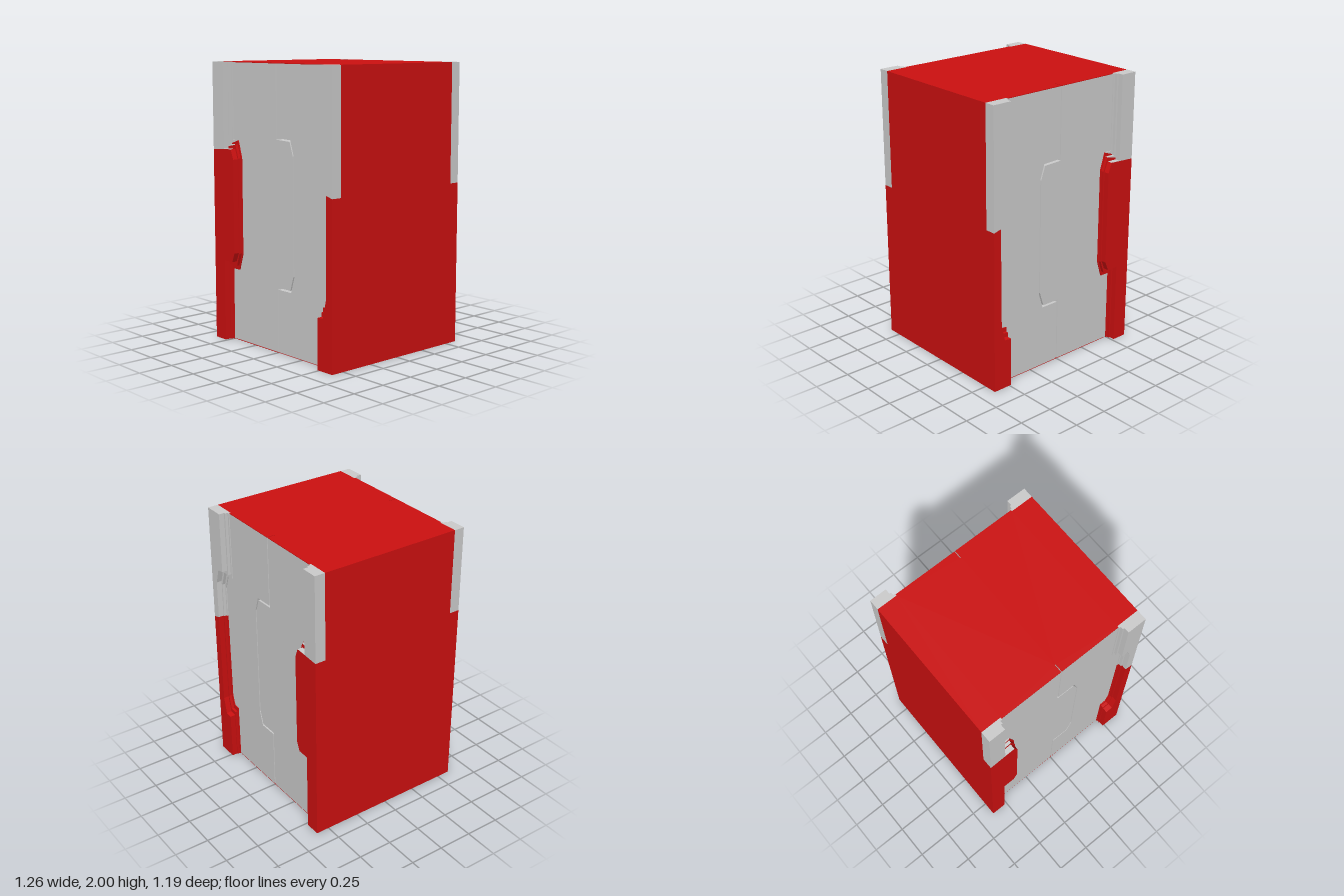
import * as THREE from 'three';

const grey = new THREE.MeshStandardMaterial({ color: 0xcccccc });
const red = new THREE.MeshStandardMaterial({ color: 0xcc1010 });

const W = 0.63, H = 2, LIP = 0.004;           // half width, height, cap thickness
const CORE = 0.47, SIDE = 0.52, DOOR = 0.53;  // half depths

function addMesh(parent, name, geometry, material) {
  const mesh = new THREE.Mesh(geometry, material);
  mesh.name = name;
  parent.add(mesh);
  return mesh;
}

// Flat outline extruded from z0 to z1
function slab(points, z0, z1) {
  const shape = new THREE.Shape(points.map(([x, y]) => new THREE.Vector2(x, y)));
  return new THREE.ExtrudeGeometry(shape, { depth: z1 - z0, bevelEnabled: false }).translate(0, 0, z0);
}

// The same slab on the front and the back
function addBothFaces(parent, name, points, z0, z1, material) {
  addMesh(parent, name + 'Front', slab(points, z0, z1), material);
  addMesh(parent, name + 'Back', slab(points, -z1, -z0), material);
}

// Blend two matching outlines
const blend = (a, b, t) => a.map(([x, y], i) => [x + (b[i][0] - x) * t, y + (b[i][1] - y) * t]);

// Stepped frame: inner outline lies against the door, outer outline is the raised face
function addFrame(parent, name, inner, outer, split, edgeX, edgeY) {
  const tops = [0.537, 0.558, 0.597];
  tops.forEach((z1, i) => {
    const z0 = i ? tops[i - 1] : SIDE;
    const line = blend(inner, outer, i / 2);
    const upper = [[edgeX, edgeY], [edgeX, H], ...line.slice(0, split + 1)];
    const lower = [[edgeX, 0], [edgeX, edgeY], ...line.slice(split)];
    addBothFaces(parent, `${name}Upper${i}`, upper, z0, z1, grey);
    addBothFaces(parent, `${name}Lower${i}`, lower, z0, z1, red);
  });
}

export function createModel() {
  const model = new THREE.Group();
  model.name = 'doorBlock';

  // Core and side walls
  const inside = H - 2 * LIP;
  addMesh(model, 'core', new THREE.BoxGeometry(1.2, inside, 2 * CORE).translate(0, 1, 0), grey);
  for (const s of [-1, 1]) {
    addMesh(model, s < 0 ? 'rightWall' : 'leftWall',
      new THREE.BoxGeometry(0.03, inside, 2 * SIDE).translate(s * (W - 0.015), 1, 0), red);
  }

  // Top and bottom caps; the top one is notched where the door seam meets it
  const half = (notched) => {
    const seam = notched ? [[-0.007, DOOR], [-0.007, CORE], [-0.001, CORE], [-0.001, DOOR]] : [];
    return [[-W, SIDE], [-0.482, SIDE], [-0.482, DOOR], ...seam, [0.462, DOOR], [0.462, SIDE], [W, SIDE]];
  };
  const cap = (notched) => {
    const front = half(notched);
    const back = front.map(([x, z]) => [x, -z]).reverse();
    return slab([...front, ...back], 0, LIP).rotateX(-Math.PI / 2);
  };
  addMesh(model, 'topCap', cap(true).translate(0, H - LIP, 0), red);
  addMesh(model, 'bottomCap', cap(false), red);

  // Door leaves meeting along a stepped seam
  const top = H - LIP;
  const seamRight = [[-0.008, top], [-0.008, 1.485], [0.132, 1.48], [0.165, 1.385],
    [0.165, 0.565], [0.132, 0.463], [-0.003, 0.463], [-0.003, LIP]];
  const seamLeft = [[0, top], [0, 1.498], [0.14, 1.494], [0.174, 1.388],
    [0.174, 0.558], [0.14, 0.449], [0.005, 0.449], [0.005, LIP]];
  addBothFaces(model, 'rightLeaf', [[-0.6, LIP], [-0.6, top], ...seamRight], CORE, DOOR, grey);
  addBothFaces(model, 'leftLeaf', [[0.6, LIP], [0.6, top], ...seamLeft], CORE, DOOR, grey);

  // Frame with a bulge on the -x side
  addFrame(model, 'rightFrame',
    [[-0.482, H], [-0.482, 1.452], [-0.423, 1.452], [-0.386, 1.33], [-0.386, 0.64],
      [-0.423, 0.523], [-0.497, 0.523], [-0.497, 0]],
    [[-0.508, H], [-0.508, 1.39], [-0.43, 1.392], [-0.403, 1.32], [-0.403, 0.65],
      [-0.43, 0.585], [-0.518, 0.585], [-0.518, 0]],
    2, -W, 1.38);

  // Frame with a matching recess on the +x side
  addFrame(model, 'leftFrame',
    [[0.462, H], [0.462, 1.508], [0.517, 1.505], [0.552, 1.4], [0.552, 1.17],
      [0.546, 0.5], [0.522, 0.417], [0.475, 0.413], [0.475, 0]],
    [[0.487, H], [0.487, 1.566], [0.54, 1.56], [0.573, 1.45], [0.573, 1.17],
      [0.568, 0.48], [0.54, 0.36], [0.487, 0.355], [0.487, 0]],
    4, W, 1.155);

  return model;
}
